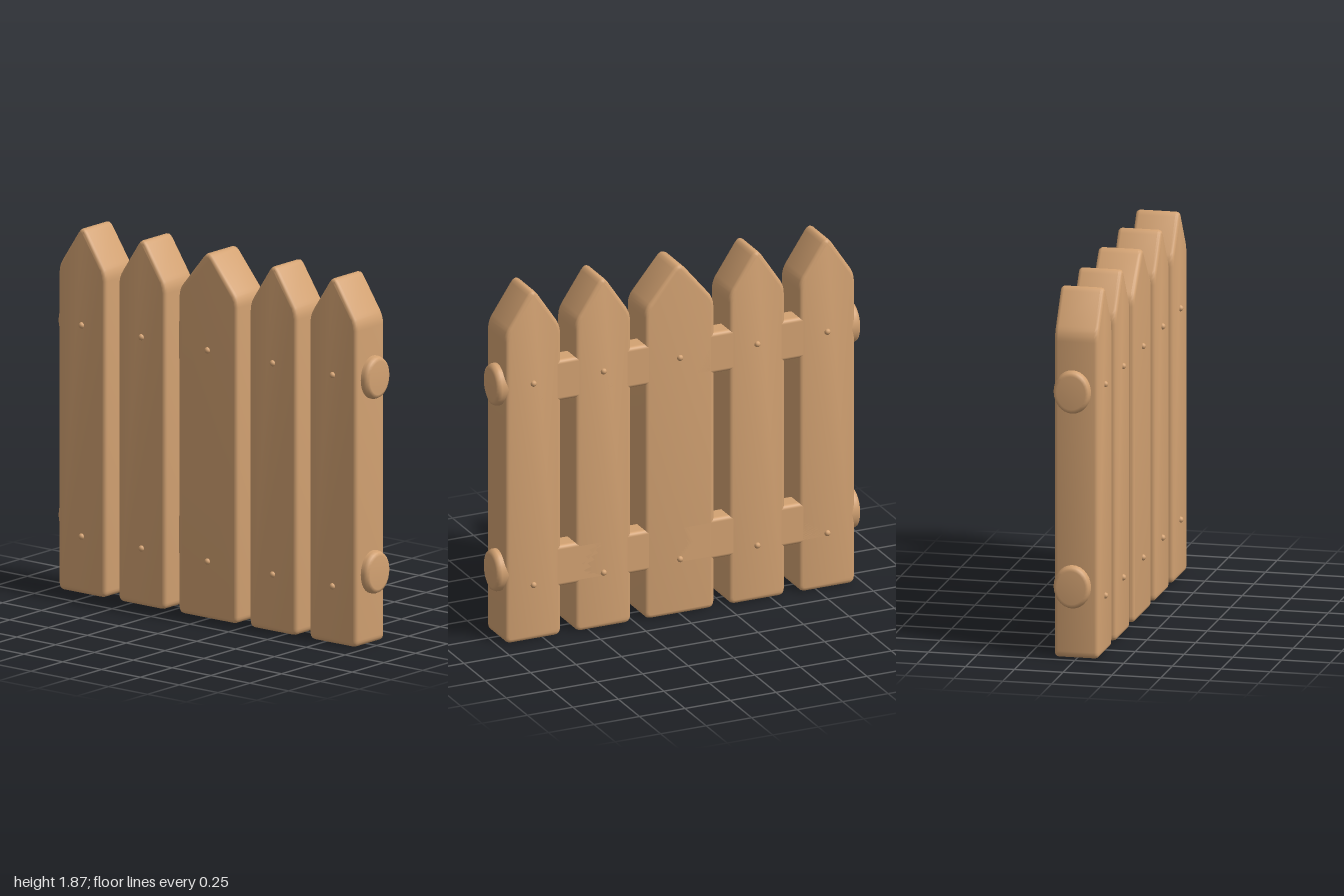
import * as THREE from 'three';
import { toCreasedNormals } from 'three/addons/utils/BufferGeometryUtils.js';
import { RoundedBoxGeometry } from 'three/addons/geometries/RoundedBoxGeometry.js';

const BACK = -0.115, FRONT = 0.11;

// Polygon outline with each corner softened; corners are [x, y, rounding]
function roundedShape(corners) {
  const shape = new THREE.Shape();
  const n = corners.length;
  corners.forEach(([x, y, d], i) => {
    const p = new THREE.Vector2(x, y);
    const toward = ([qx, qy]) => new THREE.Vector2(qx, qy).sub(p).setLength(d).add(p);
    const a = toward(corners[(i + n - 1) % n]);
    const b = toward(corners[(i + 1) % n]);
    if (i === 0) shape.moveTo(a.x, a.y);
    else shape.lineTo(a.x, a.y);
    shape.quadraticCurveTo(x, y, b.x, b.y);
  });
  shape.closePath();
  return shape;
}

// Pointed board with softened edges
function picketGeometry(width) {
  const h = width / 2, bevel = 0.02;
  const shape = roundedShape([
    [-h, 0, 0.035], [h, 0, 0.035], [h, 1.665, 0.04], [0, 1.895, 0.05], [-h, 1.665, 0.04],
  ]);
  const geo = new THREE.ExtrudeGeometry(shape, {
    depth: FRONT - BACK - bevel * 2, curveSegments: 5,
    bevelEnabled: true, bevelThickness: bevel, bevelSize: bevel, bevelOffset: -bevel, bevelSegments: 3,
  });
  geo.translate(0, 0, BACK + bevel);
  return toCreasedNormals(geo, 0.6);
}

// Log end: a short lathed disc with a rounded rim, facing +x
function logEndGeometry() {
  const profile = [[0, 0.1], [0.085, 0.1], [0.102, 0.093], [0.11, 0.075], [0.11, 0]]
    .reverse().map(([r, y]) => new THREE.Vector2(r, y));
  const geo = new THREE.LatheGeometry(profile, 28);
  geo.rotateZ(-Math.PI / 2);
  geo.scale(1, 1, 0.86);
  return geo;
}

export function createModel() {
  const fence = new THREE.Group();
  fence.name = 'picketFence';
  const wood = new THREE.MeshStandardMaterial({ color: 0xd3a272 });
  wood.name = 'wood';

  const add = (parent, name, geometry, x, y, z) => {
    const mesh = new THREE.Mesh(geometry, wood);
    mesh.name = name;
    mesh.position.set(x, y, z);
    parent.add(mesh);
    return mesh;
  };

  // Pickets with a nail at each rail, front and back
  const nail = new THREE.SphereGeometry(0.016, 10, 8);
  const pickets = [[-0.81, 0.305], [-0.425, 0.305], [0, 0.38], [0.42, 0.305], [0.805, 0.305]];
  for (const [x, width] of pickets) {
    const group = new THREE.Group();
    group.name = 'picketWithNails';
    group.position.x = x;
    add(group, 'picket', picketGeometry(width), 0, 0, 0);
    for (const y of [0.295, 1.38]) {
      add(group, 'frontNail', nail, 0, y, FRONT);
      add(group, 'backNail', nail, 0, y, BACK);
    }
    fence.add(group);
  }

  // Rails: flush with the back between pickets, round log ends outside
  const logEnd = logEndGeometry();
  for (const y of [0.37, 1.37]) {
    const rail = new THREE.Group();
    rail.name = 'rail';
    add(rail, 'railBeam', new RoundedBoxGeometry(1.84, 0.22, 0.115, 3, 0.02), 0, y, -0.0575);
    add(rail, 'leftRailEnd', logEnd, 0.9, y, -0.02);
    add(rail, 'rightRailEnd', logEnd, -0.9, y, -0.02).rotation.y = Math.PI;
    fence.add(rail);
  }
  return fence;
}
